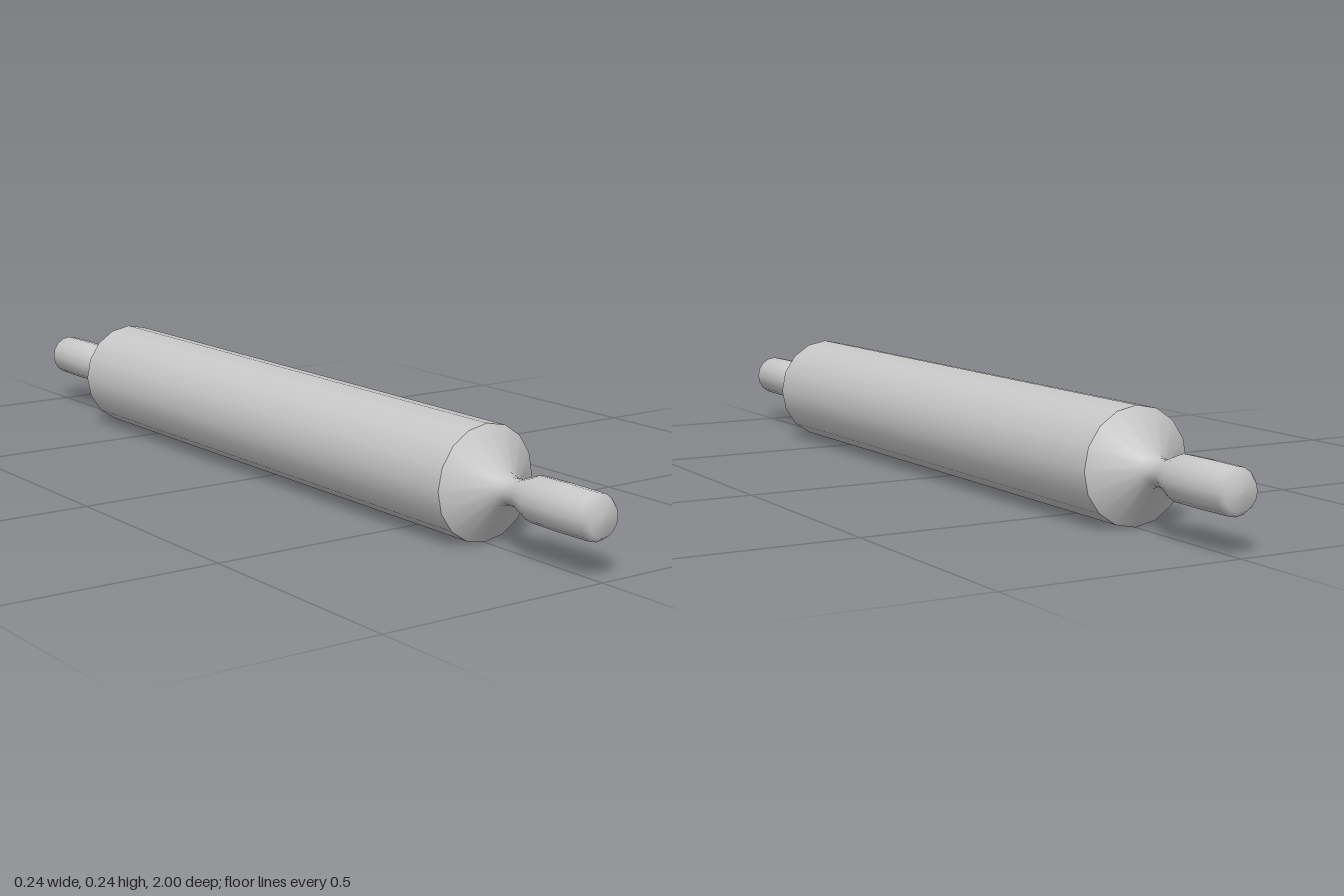
import * as THREE from 'three';

const SIDES = 16;
const RADIUS = 0.118;
const HALF_BODY = 0.675;

export function createModel() {
  const group = new THREE.Group();
  group.name = 'rollingPin';
  const grey = new THREE.MeshStandardMaterial({ color: 0xc8c8c8 });
  grey.name = 'plain grey';

  // Main roller, open at the ends where the cones close it
  const roller = new THREE.Mesh(
    new THREE.CylinderGeometry(RADIUS, RADIUS, HALF_BODY * 2, SIDES, 1, true), grey);
  roller.name = 'roller';
  roller.rotation.x = Math.PI / 2;
  roller.position.y = RADIUS;
  group.add(roller);

  // Shoulder cone, thin neck and rounded grip turned as one profile
  const profile = [
    [RADIUS, HALF_BODY], [0.035, 0.73], [0.027, 0.75], [0.028, 0.777],
    [0.046, 0.825], [0.047, 0.9], [0.046, 0.982], [0.036, 0.997], [0, 1],
  ].map(([r, y]) => new THREE.Vector2(r, y));
  const handleGeometry = new THREE.LatheGeometry(profile, SIDES);

  for (const side of [1, -1]) {
    const handle = new THREE.Mesh(handleGeometry, grey);
    handle.name = side > 0 ? 'frontHandle' : 'backHandle';
    handle.rotation.x = side * Math.PI / 2;
    handle.position.y = RADIUS;
    group.add(handle);
  }
  return group;
}
